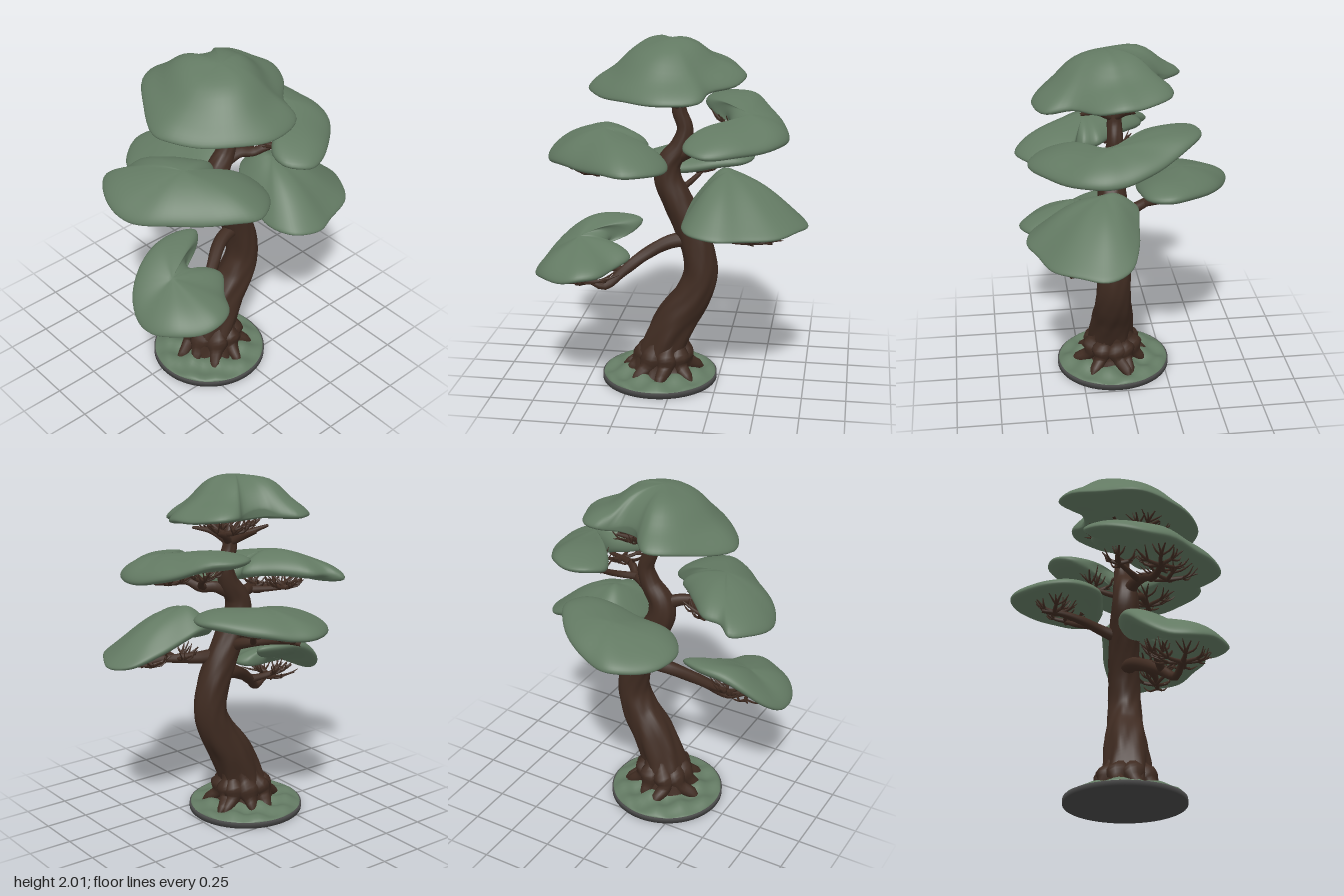
import * as THREE from 'three';
import { mergeGeometries, mergeVertices } from 'three/addons/utils/BufferGeometryUtils.js';

const material = (name, color) => Object.assign(new THREE.MeshStandardMaterial({ color }), { name });
const V = (p) => new THREE.Vector3(p[0], p[1], p[2]);

// Small seeded random generator
let seed = 7;
const rand = (a, b) => {
  seed = (seed * 16807) % 2147483647;
  return a + (b - a) * (seed / 2147483647);
};

// Weld a geometry so that its normals are smooth all over
function smooth(geo) {
  geo.deleteAttribute('uv');
  geo.deleteAttribute('normal');
  const out = mergeVertices(geo, 1e-5);
  out.computeVertexNormals();
  return out;
}

// Tapering limb swept through [x, y, z, radius] points; bark(angle, y) scales the radius
function limb(points, segs = 8, sides = 6, bark = () => 1) {
  const curve = new THREE.CatmullRomCurve3(points.map(V));
  const radii = new THREE.CatmullRomCurve3(points.map((p) => new THREE.Vector3(p[3], 0, 0)));
  const geo = new THREE.TubeGeometry(curve, segs, 1, sides);
  const pos = geo.attributes.position;
  const v = new THREE.Vector3();
  for (let i = 0; i <= segs; i++) {
    const c = curve.getPointAt(i / segs);
    const r = Math.max(radii.getPoint(curve.getUtoTmapping(i / segs)).x, 0.001);
    for (let j = 0; j <= sides; j++) {
      const k = i * (sides + 1) + j;
      v.fromBufferAttribute(pos, k).sub(c).multiplyScalar(r * bark((j / sides) * Math.PI * 2, c.y)).add(c);
      pos.setXYZ(k, v.x, v.y, v.z);
    }
  }
  return smooth(geo);
}

// Rounded cushion: the rim is a closed curve, the inside domes up towards the centre, with an optional crown
function cushion({ rim, centre, thick, dome, q = 1, crown }) {
  const cols = 72, half = 16, verts = [], index = [];
  const curve = new THREE.CatmullRomCurve3(rim.map(V), true);
  const edge = Array.from({ length: cols }, (_, k) => curve.getPoint(k / cols));
  const c = V(centre), p = new THREE.Vector3();
  for (let j = 0; j <= half * 2; j++) {
    const s = Math.sin((j / (half * 2)) * Math.PI);
    const round = thick * Math.sqrt(Math.max(0, 1 - s ** 5));
    const rise = dome * Math.max(0, 1 - s * s) ** q;
    for (let k = 0; k < cols; k++) {
      p.lerpVectors(c, edge[k], s);
      const lump = 0.007 * Math.sin(p.x * 13 + 1) * Math.sin(p.z * 12);
      const bump = crown ? crown.h * Math.exp(-(Math.hypot((p.x - crown.x) / crown.rx, (p.z - crown.z) / crown.rz) ** 6)) : 0;
      p.y += lump + (j <= half ? round + rise + bump : 0.35 * rise - round);
      verts.push(p.x, p.y, p.z);
      if (j === half * 2) continue;
      const a = j * cols + k, b = j * cols + (k + 1) % cols;
      index.push(a, b + cols, a + cols, a, b, b + cols);
    }
  }
  const geo = new THREE.BufferGeometry();
  geo.setAttribute('position', new THREE.Float32BufferAttribute(verts, 3));
  geo.setIndex(index);
  return smooth(geo);
}

// Fan of forked twigs around a hub, reaching out by rx and rz
function twigs([x, y, z], n, rx, rz, lift, r = 0.013) {
  const list = [];
  for (let i = 0; i < n; i++) {
    const a = (i / n) * Math.PI * 2 + rand(-0.35, 0.35), d = rand(0.65, 1.05);
    const at = (t, da, dy) => [x + Math.cos(a + da) * rx * d * t, y + dy, z + Math.sin(a + da) * rz * d * t];
    const fork = at(0.5, 0.15, lift * 0.25);
    list.push(limb([[x, y, z, r], [...fork, r * 0.8], [...at(1.05, 0, lift), 0.003]]));
    for (const da of [-0.4, 0.3, 0.55]) {
      list.push(limb([[...fork, r * 0.55], [...at(0.75, da * 0.7, lift * rand(0.3, 0.6)), r * 0.45],
        [...at(rand(0.85, 1.1), da, lift * rand(0.8, 1.4)), 0.002]], 5, 5));
    }
  }
  return list;
}

const PADS = {
  topFoliage: { centre: [-0.05, 1.78, 0.1], thick: 0.04, dome: 0.11,
    crown: { x: -0.06, z: 0.07, rx: 0.24, rz: 0.28, h: 0.07 }, rim: [
      [-0.48, 1.725, 0.06], [-0.38, 1.77, -0.14], [-0.26, 1.81, -0.3], [-0.16, 1.82, -0.34], [-0.09, 1.82, -0.28],
      [-0.03, 1.82, -0.2], [0.09, 1.82, -0.18], [0.18, 1.83, -0.245], [0.28, 1.82, -0.22], [0.36, 1.8, -0.08],
      [0.39, 1.8, 0.04], [0.35, 1.78, 0.16], [0.22, 1.76, 0.3], [0.18, 1.73, 0.44], [0, 1.725, 0.5],
      [-0.14, 1.72, 0.47], [-0.32, 1.72, 0.35], [-0.45, 1.72, 0.18]] },
  upperLeftFoliage: { centre: [0.42, 1.53, 0.12], thick: 0.047, dome: 0.03, rim: [
    [0.13, 1.6, -0.26], [0.19, 1.625, -0.36], [0.3, 1.63, -0.385], [0.41, 1.62, -0.33], [0.51, 1.57, -0.2],
    [0.58, 1.53, -0.08], [0.625, 1.49, 0.05], [0.635, 1.48, 0.17], [0.585, 1.48, 0.3], [0.45, 1.47, 0.43],
    [0.3, 1.46, 0.525], [0.2, 1.46, 0.54], [0.1, 1.48, 0.46], [0.1, 1.5, 0.35], [0.2, 1.5, 0.24],
    [0.3, 1.53, 0.11], [0.28, 1.57, -0.03], [0.17, 1.59, -0.15]] },
  upperRightFoliage: { centre: [-0.38, 1.385, 0.18], thick: 0.045, dome: 0.085, rim: [
    [-0.725, 1.34, 0], [-0.68, 1.36, -0.13], [-0.6, 1.38, -0.215], [-0.52, 1.41, -0.16], [-0.42, 1.425, -0.16],
    [-0.32, 1.43, -0.07], [-0.21, 1.43, 0.05], [-0.14, 1.42, 0.13], [-0.17, 1.4, 0.2], [-0.12, 1.38, 0.25],
    [-0.02, 1.36, 0.29], [0, 1.35, 0.38], [-0.05, 1.35, 0.5], [-0.2, 1.36, 0.595], [-0.35, 1.36, 0.53],
    [-0.5, 1.35, 0.4], [-0.65, 1.34, 0.25], [-0.715, 1.33, 0.12]] },
  backFoliage: { centre: [0.05, 1.245, -0.32], thick: 0.044, dome: 0.04, rim: [
    [-0.32, 1.205, -0.25], [-0.3, 1.2, -0.42], [-0.2, 1.2, -0.54], [-0.08, 1.21, -0.6], [0.05, 1.22, -0.57],
    [0.2, 1.25, -0.5], [0.33, 1.28, -0.38], [0.42, 1.285, -0.22], [0.37, 1.275, -0.1], [0.2, 1.26, -0.06],
    [0, 1.23, -0.07], [-0.2, 1.21, -0.1]] },
  lowerLeftFoliage: { centre: [0.3, 1.09, 0.14], thick: 0.037, dome: 0.165, q: 1.5, rim: [
    [0.08, 1.05, 0.3], [0.12, 1.12, 0.1], [0.2, 1.18, -0.02], [0.28, 1.19, -0.05], [0.4, 1.15, -0.04],
    [0.55, 1.09, -0.02], [0.69, 1.03, 0.04], [0.755, 1.01, 0.17], [0.71, 1.01, 0.3], [0.61, 1.01, 0.44],
    [0.42, 1.01, 0.515], [0.28, 1.02, 0.565], [0.14, 1.03, 0.52], [0.085, 1.04, 0.42]] },
  lowerRightFoliage: { centre: [-0.52, 0.815, 0.24], thick: 0.043, dome: 0.045, rim: [
    [-0.75, 0.72, 0.22], [-0.69, 0.8, 0.1], [-0.58, 0.89, 0.03], [-0.45, 0.95, 0], [-0.3, 0.965, 0],
    [-0.19, 0.96, 0.05], [-0.23, 0.93, 0.11], [-0.36, 0.88, 0.16], [-0.36, 0.85, 0.21], [-0.25, 0.82, 0.24],
    [-0.22, 0.81, 0.31], [-0.3, 0.78, 0.42], [-0.36, 0.77, 0.53], [-0.46, 0.76, 0.575], [-0.56, 0.74, 0.555],
    [-0.68, 0.73, 0.47], [-0.75, 0.71, 0.35]] },
};

// Each bough: its main limbs, then twig fans [hub, count, rx, rz, lift]
const BOUGHS = {
  lowerRightBough: { limbs: [
    [[0.1, 0.87, 0.07, 0.045], [-0.04, 0.845, 0.1, 0.04], [-0.18, 0.775, 0.18, 0.034], [-0.27, 0.71, 0.24, 0.03], [-0.37, 0.635, 0.3, 0.022], [-0.45, 0.67, 0.32, 0.017], [-0.55, 0.68, 0.33, 0.01]],
    [[-0.27, 0.71, 0.24, 0.025], [-0.38, 0.73, 0.2, 0.018], [-0.46, 0.76, 0.17, 0.01]]],
  fans: [[[-0.48, 0.67, 0.33], 6, 0.19, 0.17, 0.05], [[-0.4, 0.73, 0.21], 5, 0.14, 0.13, 0.06]] },
  lowerLeftBough: { limbs: [
    [[0.1, 0.98, 0.06, 0.045], [0.17, 0.96, 0.14, 0.035], [0.25, 0.95, 0.22, 0.028], [0.36, 0.95, 0.27, 0.02], [0.47, 0.92, 0.3, 0.01]]],
  fans: [[[0.26, 0.95, 0.24], 5, 0.12, 0.18, 0.06], [[0.43, 0.925, 0.28], 5, 0.2, 0.17, 0.06]] },
  backBough: { limbs: [
    [[0.03, 1.03, 0.05, 0.04], [0, 1.07, -0.08, 0.03], [-0.06, 1.1, -0.2, 0.024], [-0.1, 1.12, -0.32, 0.018], [-0.12, 1.12, -0.42, 0.01]],
    [[-0.02, 1.08, -0.12, 0.02], [0.06, 1.13, -0.22, 0.016], [0.12, 1.18, -0.3, 0.01]]],
  fans: [[[-0.11, 1.12, -0.35], 6, 0.13, 0.13, 0.06], [[0.1, 1.17, -0.28], 4, 0.13, 0.13, 0.06]] },
  upperRightBough: { limbs: [
    [[-0.03, 1.26, 0.06, 0.045], [-0.12, 1.31, 0.1, 0.035], [-0.21, 1.31, 0.15, 0.028], [-0.3, 1.275, 0.2, 0.022], [-0.4, 1.275, 0.22, 0.016], [-0.5, 1.27, 0.22, 0.01]],
    [[-0.18, 1.31, 0.13, 0.022], [-0.27, 1.315, 0.06, 0.016], [-0.38, 1.33, -0.03, 0.01]]],
  fans: [[[-0.44, 1.27, 0.22], 6, 0.18, 0.18, 0.06], [[-0.25, 1.28, 0.28], 5, 0.13, 0.17, 0.05], [[-0.35, 1.32, 0], 4, 0.15, 0.11, 0.06]] },
  upperLeftBough: { limbs: [
    [[0.01, 1.34, 0.06, 0.04], [0.1, 1.38, 0.09, 0.032], [0.16, 1.375, 0.13, 0.027], [0.22, 1.41, 0.18, 0.022], [0.32, 1.41, 0.22, 0.016], [0.4, 1.41, 0.24, 0.01]],
    [[0.15, 1.38, 0.12, 0.022], [0.24, 1.42, 0.02, 0.018], [0.3, 1.49, -0.1, 0.014], [0.33, 1.53, -0.2, 0.008]]],
  fans: [[[0.32, 1.4, 0.23], 6, 0.18, 0.18, 0.06], [[0.31, 1.48, -0.1], 5, 0.13, 0.13, 0.08]] },
  topBough: { limbs: [[-0.2, 0.25], [-0.2, -0.02], [-0.02, -0.15], [0.18, -0.05], [0.13, 0.25], [-0.04, 0.33]].map(([x, z]) =>
    [[0.02, 1.63, 0.05, 0.026], [x * 0.5, 1.68, 0.05 + (z - 0.05) * 0.5, 0.018], [x, 1.71 - z * 0.06, z, 0.008]]),
  fans: [[[-0.12, 1.67, 0.16], 5, 0.19, 0.18, 0.05], [[0.08, 1.69, 0], 5, 0.16, 0.16, 0.07], [[0, 1.67, 0.22], 4, 0.13, 0.17, 0.05]] },
};

export function createModel() {
  const tree = new THREE.Group();
  tree.name = 'bonsaiTree';
  const leaf = material('foliageGreen', 0x637a63);
  const bark = material('barkBrown', 0x3f2b21);
  const stone = material('baseGrey', 0x484848);
  const add = (name, geo, mat) => {
    const mesh = new THREE.Mesh(geo, mat);
    mesh.name = name;
    tree.add(mesh);
    return mesh;
  };

  // Round base with a lumpy moss cover
  add('baseDisc', smooth(new THREE.CylinderGeometry(0.335, 0.335, 0.03, 64)), stone).position.set(-0.095, 0.015, 0.05);
  const moss = new THREE.SphereGeometry(0.328, 64, 24, 0, Math.PI * 2, 0, Math.PI / 2);
  const mp = moss.attributes.position;
  for (let i = 0; i < mp.count; i++) {
    const x = mp.getX(i), z = mp.getZ(i), fall = 1 - (x * x + z * z) / 0.1076;
    mp.setY(i, 0.004 + Math.max(0, fall) ** 0.5 * (0.035 + 0.03 * Math.sin(x * 31 + 1) * Math.sin(z * 28)));
  }
  add('mossCover', smooth(moss), leaf).position.set(-0.095, 0.028, 0.05);

  // Winding trunk, ridged most strongly towards the base
  add('trunk', limb([
    [-0.09, 0.02, 0.06, 0.17], [-0.085, 0.1, 0.06, 0.145], [-0.06, 0.22, 0.065, 0.126], [0.01, 0.38, 0.065, 0.118],
    [0.1, 0.52, 0.07, 0.105], [0.145, 0.65, 0.07, 0.096], [0.13, 0.8, 0.065, 0.092], [0.075, 0.95, 0.06, 0.088],
    [0.005, 1.1, 0.06, 0.084], [-0.045, 1.21, 0.06, 0.078], [-0.04, 1.3, 0.06, 0.07], [0.025, 1.4, 0.055, 0.056],
    [0.052, 1.5, 0.05, 0.046], [0.02, 1.6, 0.05, 0.042], [0.02, 1.68, 0.05, 0.035], [0.02, 1.74, 0.05, 0.005],
  ], 90, 36, (a, y) => {
    const low = Math.max(0, 1 - y / 0.6);
    return 1 + (0.02 + 0.08 * low) * Math.sin(a * 6 + y * 6) + 0.015 * Math.sin(a * 4 - y * 17) + 0.015 * Math.sin(a * 9 + y * 31);
  }), bark);

  // Surface roots that follow the lean of the trunk and spread at its foot
  const roots = [];
  for (let i = 0; i < 9; i++) {
    const a = (i / 9) * Math.PI * 2 + rand(-0.2, 0.2), d = rand(0.2, 0.26), w = a + rand(-0.3, 0.3);
    const at = (r, y, ang, t) => [-0.085 + y * y * 0.7 + Math.cos(ang) * r, y, 0.06 + Math.sin(ang) * r, t];
    roots.push(limb([at(0.06, 0.36, a - 0.2, 0.02), at(0.095, 0.2, a, 0.04), at(0.14, 0.1, a, 0.04),
      at(d * 0.85, 0.055, w, 0.03), at(d, 0.03, w, 0.006)], 18, 10, (b, y) => 1 + 0.08 * Math.sin(b * 2 + y * 50)));
  }
  add('roots', mergeGeometries(roots), bark);

  // Boughs with their twigs, then the foliage cushions above them
  for (const [name, { limbs, fans }] of Object.entries(BOUGHS)) {
    const parts = limbs.map((points) => limb(points, 24, 10, (a, y) => 1 + 0.05 * Math.sin(a * 3 + y * 60)));
    fans.forEach((f) => parts.push(...twigs(...f)));
    add(name, mergeGeometries(parts), bark);
  }
  for (const [name, pad] of Object.entries(PADS)) add(name, cushion(pad), leaf);
  return tree;
}
